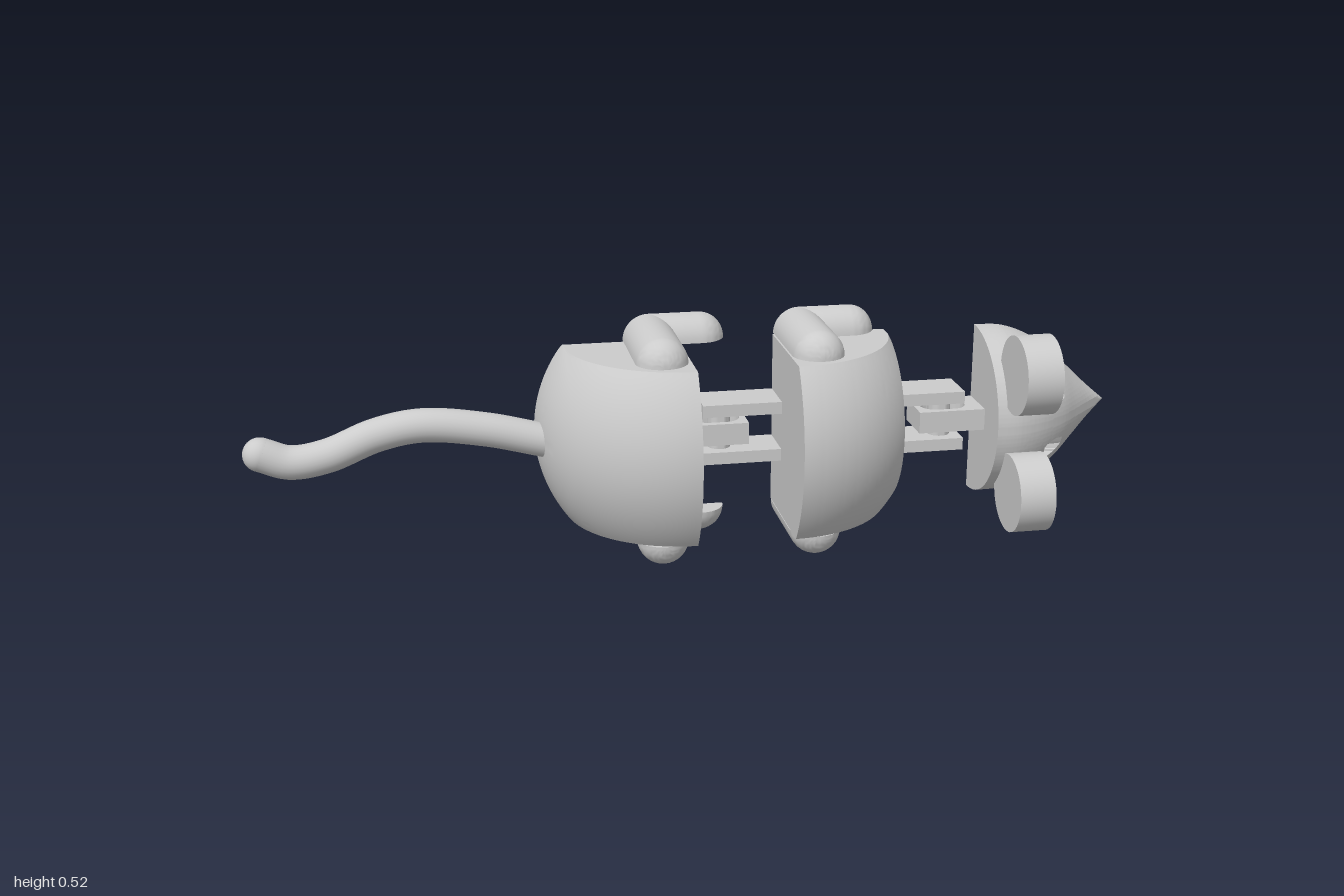
import * as THREE from 'three';
import { toCreasedNormals } from 'three/addons/utils/BufferGeometryUtils.js';

// Local frame: x along the body, y sideways, z height above the flat cut face.
const material = new THREE.MeshStandardMaterial({ color: 0xcccccc });
const HALF_WIDTH = 0.199;
const LINK_HEIGHT = 0.105;

function add(parent, name, geometry, crease = 0.6) {
  const mesh = new THREE.Mesh(crease ? toCreasedNormals(geometry, crease) : geometry, material);
  mesh.name = name;
  parent.add(mesh);
  return mesh;
}

// Slice of a half ball with flattened sides, lofted from cross-sections
function bodyGeometry(centreX, from, to) {
  const R = 0.33, slices = 36, arc = 40, n = arc + 3;
  const pos = [], index = [];
  const a0 = Math.asin(from / R), a1 = Math.asin(to / R);
  for (let i = 0; i <= slices; i++) {
    const dx = R * Math.sin(a0 + (a1 - a0) * i / slices);
    const rho = Math.max(Math.sqrt(Math.max(R * R - dx * dx, 0)), 0.002);
    const w = Math.min(HALF_WIDTH, rho), x = centreX + dx;
    const start = Math.acos(w / rho);
    pos.push(x, -w, 0);
    for (let j = 0; j <= arc; j++) {
      const t = start + (Math.PI - 2 * start) * j / arc;
      pos.push(x, -rho * Math.cos(t), rho * Math.sin(t));
    }
    pos.push(x, w, 0);
  }
  for (let i = 0; i < slices; i++) {
    for (let j = 0; j < n; j++) {
      const a = i * n + j, c = i * n + (j + 1) % n;
      index.push(a, a + n, c, c, a + n, c + n);
    }
  }
  const end = slices * n;
  for (let k = 1; k < n - 1; k++) {
    index.push(0, k, k + 1, end, end + k + 1, end + k);
  }
  const g = new THREE.BufferGeometry();
  g.setAttribute('position', new THREE.Float32BufferAttribute(pos, 3));
  g.setIndex(index);
  return g;
}

// Press a geometry flat against the body side and the cut face
function flatten(geometry, side) {
  const p = geometry.attributes.position;
  for (let i = 0; i < p.count; i++) {
    p.setY(i, side * Math.max(side * p.getY(i), 0));
    p.setZ(i, Math.max(p.getZ(i), 0));
  }
  return geometry;
}

function addLeg(parent, name, legX, toeX, side) {
  const r = 0.058, legTop = 0.192;
  const leg = new THREE.Group();
  leg.name = name;
  leg.position.y = side * 0.203;
  const upper = new THREE.CapsuleGeometry(r, legTop, 12, 32);
  upper.rotateX(Math.PI / 2).translate(legX, 0, legTop / 2);
  add(leg, 'upperLeg', flatten(upper, side));
  const foot = new THREE.CapsuleGeometry(r, toeX - legX, 12, 32);
  foot.rotateZ(Math.PI / 2).translate((legX + toeX) / 2, 0, 0);
  add(leg, 'foot', flatten(foot, side));
  parent.add(leg);
}

// Hinge: slotted tongue on one side, two arms and a pin on the other
function addJoint(parent, name, x, turned) {
  const joint = new THREE.Group();
  joint.name = name;
  joint.position.x = x;
  if (turned) joint.rotation.z = Math.PI;
  const shape = new THREE.Shape();
  shape.moveTo(-0.1, 0).lineTo(0.06, 0).lineTo(0.06, LINK_HEIGHT).lineTo(-0.1, LINK_HEIGHT).closePath();
  const slot = new THREE.Path();
  slot.absarc(0.012, 0.055, 0.034, -Math.PI / 2, Math.PI / 2, false);
  slot.absarc(-0.026, 0.055, 0.034, Math.PI / 2, Math.PI * 1.5, false);
  slot.closePath();
  shape.holes.push(slot);
  const tongue = new THREE.ExtrudeGeometry(shape, { depth: 0.05, bevelEnabled: false, curveSegments: 16 });
  tongue.translate(0, 0, -0.025).rotateX(Math.PI / 2);
  add(joint, 'tongue', tongue);
  for (const side of [-1, 1]) {
    const arm = new THREE.BoxGeometry(0.185, 0.028, LINK_HEIGHT);
    add(joint, 'arm', arm.translate(0.0475, side * 0.056, LINK_HEIGHT / 2), 0);
  }
  const pin = new THREE.CylinderGeometry(0.026, 0.026, 0.09, 24);
  add(joint, 'pin', pin.translate(0, 0, 0.055));
  parent.add(joint);
}

function addHead(parent) {
  const head = new THREE.Group();
  head.name = 'head';
  const outline = new THREE.SplineCurve([
    [0.199, 0.67], [0.196, 0.73], [0.175, 0.79], [0.136, 0.85],
    [0.09, 0.9], [0.043, 0.95], [0, 1],
  ].map(([r, x]) => new THREE.Vector2(r, x))).getPoints(90);
  outline[outline.length - 1].x = 0;

  // Half-round skull, with the eye sockets pressed in along x
  const skull = new THREE.LatheGeometry([new THREE.Vector2(0, 0.67), ...outline], 150, -Math.PI / 2, Math.PI);
  skull.rotateZ(-Math.PI / 2);
  const p = skull.attributes.position;
  for (let i = 0; i < p.count; i++) {
    const d = Math.hypot(Math.abs(p.getY(i)) - 0.066, p.getZ(i) - 0.14);
    if (d < 0.021) p.setX(i, Math.min(p.getX(i), 0.8));
  }
  add(head, 'skull', skull);

  // Flat face closing the half head
  const flat = new THREE.Shape([
    ...outline.map((q) => new THREE.Vector2(q.y, q.x)),
    ...outline.slice(0, -1).reverse().map((q) => new THREE.Vector2(q.y, -q.x)),
  ]);
  add(head, 'headCutFace', new THREE.ShapeGeometry(flat).rotateX(Math.PI), 0);

  // Cupped ears, open towards the nose
  const cup = [[0, 0], [0.09, 0], [0.09, 0.083], [0.073, 0.083], [0.073, 0.035], [0, 0.035]]
    .map(([r, h]) => new THREE.Vector2(r, h));
  for (const side of [-1, 1]) {
    const ear = new THREE.LatheGeometry(cup, 56).rotateZ(-Math.PI / 2);
    add(head, 'ear', ear.translate(0.692, side * 0.139, 0.222));
  }
  parent.add(head);
}

function addTail(parent) {
  const points = [
    [-0.3, -0.014], [-0.36, 0.002], [-0.47, 0.03], [-0.61, 0.048],
    [-0.71, 0.032], [-0.82, -0.01], [-0.9, -0.02], [-0.962, 0.002],
  ].map(([x, y]) => new THREE.Vector3(x, y, 0.06));
  const tail = new THREE.Group();
  tail.name = 'tail';
  add(tail, 'tailTube', new THREE.TubeGeometry(new THREE.CatmullRomCurve3(points), 64, 0.038, 24), 0);
  const tip = add(tail, 'tailTip', new THREE.SphereGeometry(0.038, 24, 16), 0);
  tip.position.copy(points[points.length - 1]);
  parent.add(tail);
}

export function createModel() {
  const model = new THREE.Group();
  model.name = 'jointedMouse';
  const body = new THREE.Group();
  body.name = 'mouse';
  body.position.set(0, 0.261, -0.165);
  model.add(body);

  add(body, 'rearBody', bodyGeometry(-0.03, -0.33, 0));
  add(body, 'frontBody', bodyGeometry(0.19, 0, 0.26));
  addJoint(body, 'rearJoint', 0.055, false);
  addJoint(body, 'neckJoint', 0.575, true);
  for (const side of [-1, 1]) {
    addLeg(body, 'rearLeg', -0.097, 0.016, side);
    addLeg(body, 'frontLeg', 0.249, 0.364, side);
  }
  addHead(body);
  addTail(body);
  return model;
}
